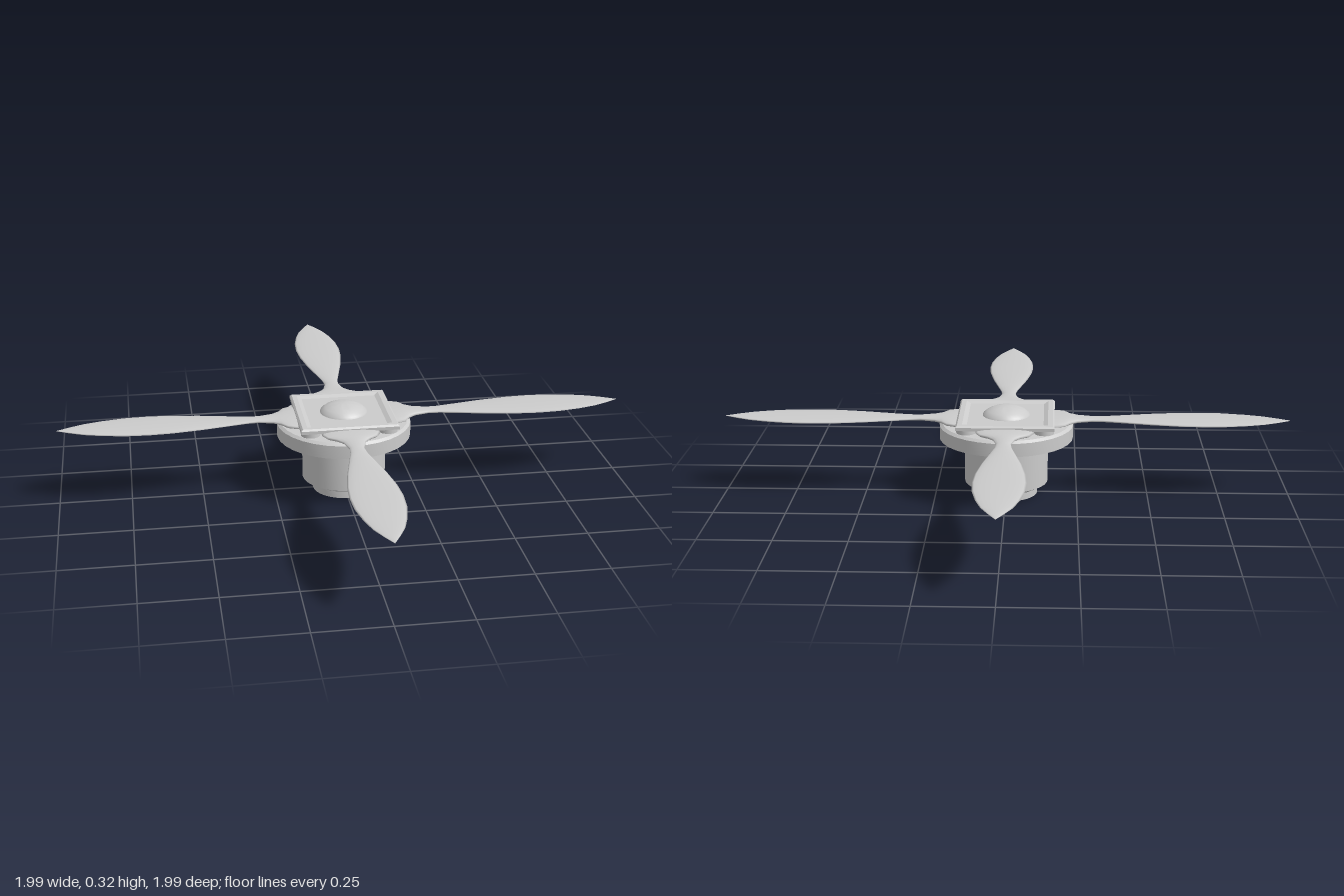
import * as THREE from 'three';
import { toCreasedNormals } from 'three/addons/utils/BufferGeometryUtils.js';

const material = new THREE.MeshStandardMaterial({ color: 0xcccccc });

function part(name, geometry) {
  const mesh = new THREE.Mesh(geometry, material);
  mesh.name = name;
  return mesh;
}

// Turned solid from [radius, y] pairs listed from the bottom up
function turned(profile, segments = 32, start = 0, crease = 0.6) {
  const points = profile.map(([r, y]) => new THREE.Vector2(r, y));
  return toCreasedNormals(new THREE.LatheGeometry(points, segments, start), crease);
}

// Blade lofted along +x from lens sections: [x, half width, half thickness]
function bladeGeometry() {
  const sections = [
    [0.12, 0.1, 0.012], [0.18, 0.1, 0.012], [0.205, 0.088, 0.012], [0.225, 0.058, 0.011],
    [0.25, 0.038, 0.01], [0.3, 0.025, 0.008], [0.34, 0.029, 0.007], [0.4, 0.042, 0.007],
    [0.5, 0.064, 0.007], [0.6, 0.08, 0.007], [0.68, 0.085, 0.007], [0.76, 0.081, 0.007],
    [0.84, 0.066, 0.006], [0.9, 0.048, 0.005], [0.95, 0.024, 0.004], [0.993, 0, 0.001],
  ];
  const sides = 16, positions = [], index = [];
  sections.forEach(([x, w, t], i) => {
    for (let j = 0; j < sides; j++) {
      const a = (j / sides) * Math.PI * 2;
      positions.push(x, t * Math.sin(a), w * Math.cos(a));
      if (i === 0) continue;
      const k = (j + 1) % sides, p = (i - 1) * sides, q = i * sides;
      index.push(p + j, q + j, p + k, p + k, q + j, q + k);
    }
  });
  const geometry = new THREE.BufferGeometry();
  geometry.setAttribute('position', new THREE.Float32BufferAttribute(positions, 3));
  geometry.setIndex(index);
  geometry.computeVertexNormals();
  return geometry;
}

export function createModel() {
  const model = new THREE.Group();
  model.name = 'rotor';

  // Motor can with a narrower foot
  model.add(part('motorBody', turned([
    [0, 0], [0.11, 0], [0.11, 0.025], [0.147, 0.045], [0.147, 0.21], [0, 0.21],
  ])));

  // Round hub disc
  model.add(part('hubDisc', turned([
    [0, 0.205], [0.235, 0.205], [0.235, 0.252], [0.225, 0.26], [0, 0.262],
  ])));

  // Square clamp plate with a raised rim and sunken middle
  const plate = [
    [0, 0.276], [0.17, 0.276], [0.17, 0.287], [0.164, 0.293],
    [0.147, 0.293], [0.132, 0.286], [0, 0.286],
  ].map(([half, y]) => [half * Math.SQRT2, y]);
  model.add(part('clampPlate', turned(plate, 4, Math.PI / 4, 0.3)));

  // Domed cap
  model.add(part('cap', turned([
    [0.084, 0.284], [0.08, 0.292], [0.066, 0.303], [0.045, 0.312], [0.022, 0.317], [0, 0.318],
  ], 32, 0, 1)));

  // Four blades, and a spacer under each plate corner
  const blade = bladeGeometry();
  const spacer = new THREE.CylinderGeometry(0.034, 0.034, 0.03, 16);
  for (let i = 0; i < 4; i++) {
    const arm = new THREE.Group();
    arm.name = 'arm' + (i + 1);
    arm.rotation.y = (i * Math.PI) / 2;
    const bladeMesh = part('blade', blade);
    bladeMesh.position.y = 0.272;
    const spacerMesh = part('cornerSpacer', spacer);
    spacerMesh.position.set(0.134, 0.268, 0.134);
    arm.add(bladeMesh, spacerMesh);
    model.add(arm);
  }
  return model;
}
